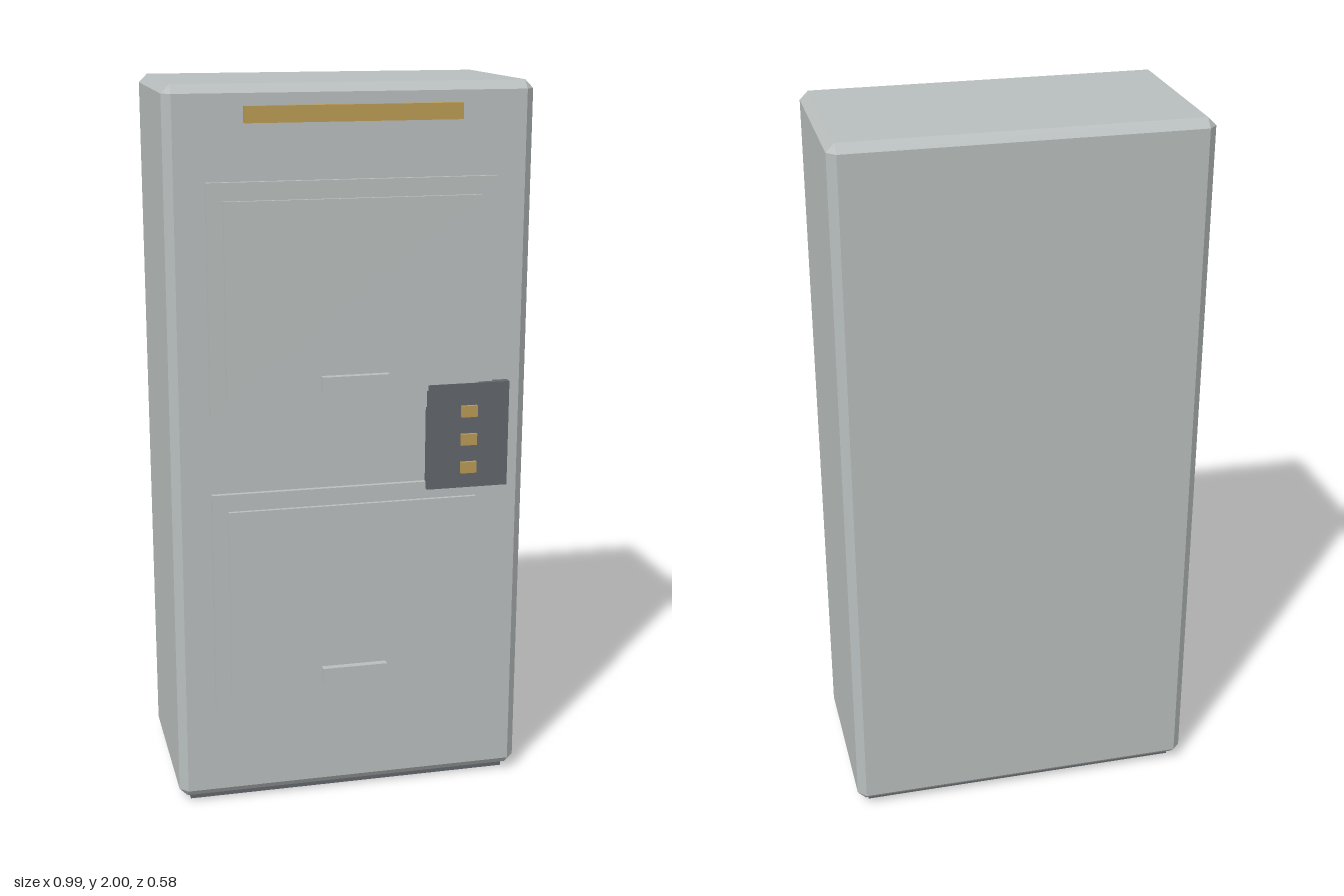
import * as THREE from 'three';
import { ConvexGeometry } from 'three/addons/geometries/ConvexGeometry.js';

const material = (name, color) => {
  const m = new THREE.MeshStandardMaterial({ color });
  m.name = name;
  return m;
};

// Box whose twelve edges are cut by a flat chamfer c
function chamferBox(w, h, d, c) {
  const points = [];
  for (const sx of [-1, 1]) for (const sy of [-1, 1]) for (const sz of [-1, 1]) {
    const x = sx * w / 2, y = sy * h / 2, z = sz * d / 2;
    points.push(
      new THREE.Vector3(x, y - sy * c, z - sz * c),
      new THREE.Vector3(x - sx * c, y, z - sz * c),
      new THREE.Vector3(x - sx * c, y - sy * c, z));
  }
  return new ConvexGeometry(points);
}

export function createModel() {
  const model = new THREE.Group();
  model.name = 'cabinet';
  const grey = material('light grey metal', 0xb8bebd);
  const dark = material('dark grey', 0x62666b);
  const gold = material('brass', 0xb89a54);

  // Box given by its lower and upper limits on each axis
  const box = (name, mat, [x0, x1], [y0, y1], [z0, z1], parent = model) => {
    const mesh = new THREE.Mesh(new THREE.BoxGeometry(x1 - x0, y1 - y0, z1 - z0), mat);
    mesh.position.set((x0 + x1) / 2, (y0 + y1) / 2, (z0 + z1) / 2);
    mesh.name = name;
    parent.add(mesh);
  };

  // Body on a slightly inset plinth
  const body = new THREE.Mesh(chamferBox(0.992, 1.984, 0.531, 0.023), grey);
  body.position.set(0, 1.008, -0.0235);
  body.name = 'body';
  model.add(body);
  box('plinth', dark, [-0.463, 0.463], [0, 0.03], [-0.254, 0.21]);

  // Two doors, each a frame, a raised panel and a handle
  for (const [name, y] of [['lowerDoor', 0.29], ['upperDoor', 1.128]]) {
    const door = new THREE.Group();
    door.name = name;
    model.add(door);
    box('doorFrame', grey, [-0.391, 0.391], [y, y + 0.625], [0.235, 0.256], door);
    box('doorPanel', grey, [-0.348, 0.348], [y + 0.048, y + 0.577], [0.25, 0.267], door);
    box('doorHandle', grey, [-0.092, 0.092], [y + 0.06, y + 0.106], [0.26, 0.287], door);
  }

  // Control panel with three buttons
  box('controlPanel', dark, [0.206, 0.437], [0.895, 1.192], [0.245, 0.2685]);
  for (const y of [0.954, 1.034, 1.114])
    box('button', gold, [0.3, 0.345], [y - 0.016, y + 0.016], [0.26, 0.278]);

  // Trim bar near the top
  box('trimBar', gold, [-0.29, 0.29], [1.903, 1.946], [0.246, 0.268]);

  return model;
}
